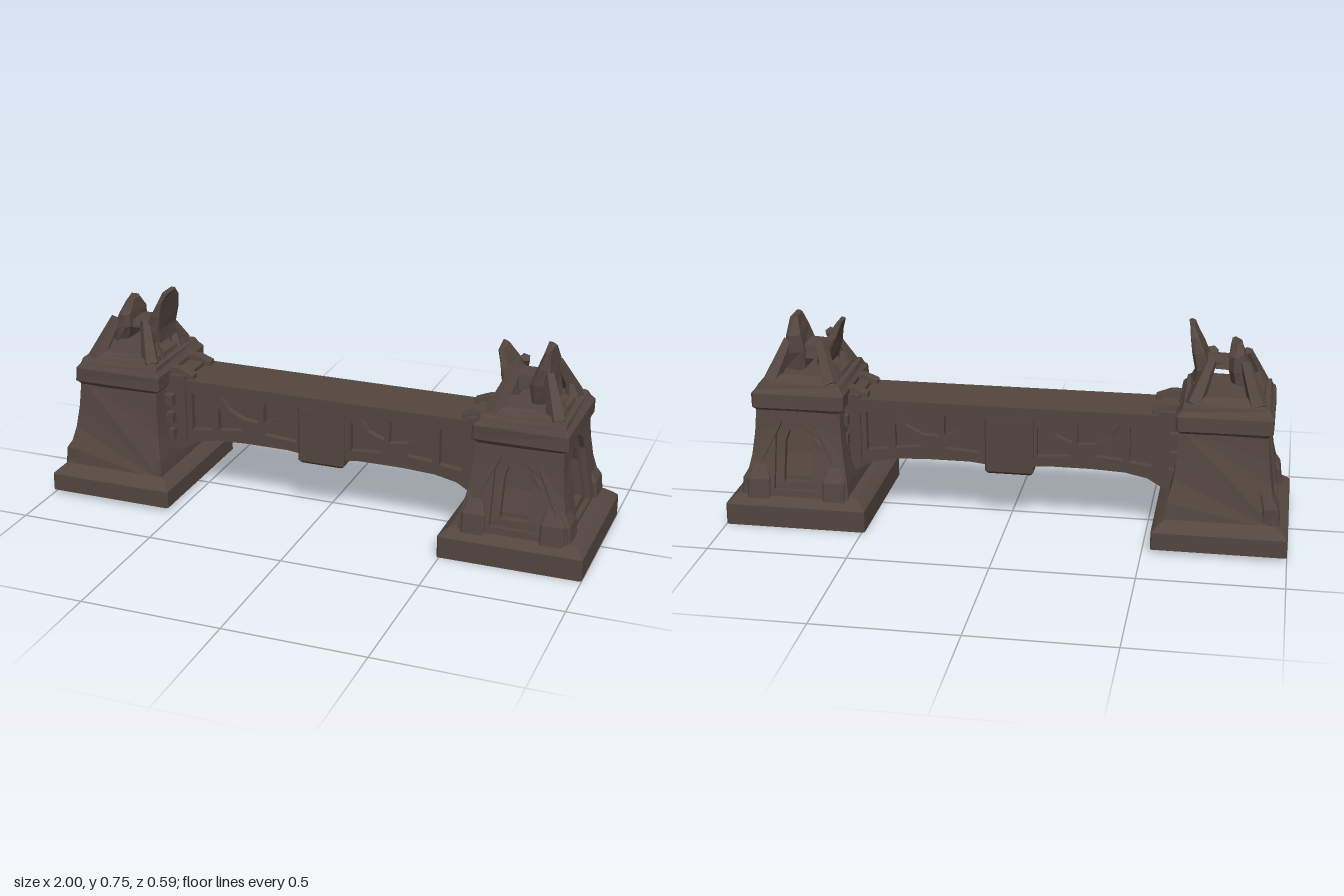
import * as THREE from 'three';

const stone = new THREE.MeshStandardMaterial({ color: 0x54463f, flatShading: true });
stone.name = 'dark stone';

function add(parent, name, geo) {
  const m = new THREE.Mesh(geo, stone);
  m.name = name;
  parent.add(m);
  return m;
}

function box(parent, name, x0, x1, y0, y1, z0, z1) {
  const g = new THREE.BoxGeometry(x1 - x0, y1 - y0, z1 - z0);
  g.translate((x0 + x1) / 2, (y0 + y1) / 2, (z0 + z1) / 2);
  return add(parent, name, g);
}

// Stacked chamfered rectangles [y, x0, x1, z0, z1]; rough moves corners for a weathered look
function loft(sections, chamfer = 0.006, rough = 0) {
  const pos = [], idx = [], n = 8;
  let seed = 7;
  const jit = () => {
    seed = (seed * 16807) % 2147483647;
    return (seed / 2147483647 - 0.5) * 2 * rough;
  };
  for (const [y, x0, x1, z0, z1] of sections) {
    const c = chamfer;
    const ring = [[x1 - c, z1], [x1, z1 - c], [x1, z0 + c], [x1 - c, z0],
      [x0 + c, z0], [x0, z0 + c], [x0, z1 - c], [x0 + c, z1]];
    for (const [x, z] of ring) pos.push(x + jit(), y + jit(), z + jit());
  }
  for (let s = 0; s < sections.length - 1; s++) {
    for (let i = 0; i < n; i++) {
      const a = s * n + i, b = s * n + (i + 1) % n;
      idx.push(a, b, b + n, a, b + n, a + n);
    }
  }
  const t = (sections.length - 1) * n;
  for (let i = 1; i < n - 1; i++) idx.push(0, i + 1, i, t, t + i, t + i + 1);
  const g = new THREE.BufferGeometry();
  g.setAttribute('position', new THREE.Float32BufferAttribute(pos, 3));
  g.setIndex(idx);
  g.computeVertexNormals();
  return g;
}

const centred = (y, hx, hz) => [y, -hx, hx, -hz, hz];

// Tapered strut between two points
function strut(parent, name, a, b, ra, rb) {
  const A = new THREE.Vector3(...a), B = new THREE.Vector3(...b), d = B.clone().sub(A);
  const m = add(parent, name, new THREE.CylinderGeometry(rb, ra, d.length(), 5));
  m.position.copy(A).add(B).multiplyScalar(0.5);
  m.quaternion.setFromUnitVectors(new THREE.Vector3(0, 1, 0), d.normalize());
}

// Flared half widths of a tower body at each height
const levels = [0.1, 0.17, 0.25, 0.33, 0.43];
const halfX = [0.193, 0.185, 0.168, 0.158, 0.152];
const halfZ = [0.25, 0.24, 0.212, 0.198, 0.186];
function at(table, y) {
  let i = 0;
  while (i < 3 && y > levels[i + 1]) i++;
  return THREE.MathUtils.lerp(table[i], table[i + 1], (y - levels[i]) / (levels[i + 1] - levels[i]));
}

const poly = (P, pts) => new P(pts.map(p => new THREE.Vector2(...p)));
const arch = (w, y0, ys, yt) => poly(THREE.Path, [[-w, y0], [w, y0], [w, ys],
  [w * 0.75, ys + (yt - ys) * 0.55], [0, yt], [-w * 0.75, ys + (yt - ys) * 0.55], [-w, ys]]);

// Wall layer following the flare, with an optional pointed opening
function wallLayer(width, out, inset, depth, hole) {
  const side = levels.map((y, i) => [width[i] - inset, y]);
  const shape = poly(THREE.Shape, [...side, ...side.map(([u, y]) => [-u, y]).reverse()]);
  if (hole) shape.holes.push(hole);
  const g = new THREE.ExtrudeGeometry(shape, { depth, bevelEnabled: false });
  const p = g.attributes.position;
  for (let i = 0; i < p.count; i++) p.setZ(i, at(out, p.getY(i)) - inset - depth + p.getZ(i));
  g.computeVertexNormals();
  return g;
}

function tower(name, cx, bottom, hx, hz, niches) {
  const t = new THREE.Group();
  t.name = name;
  t.position.x = cx;
  add(t, 'plinth', loft([centred(bottom, hx, hz), centred(0.078, hx, hz), centred(0.09, hx - 0.012, hz - 0.012),
    centred(0.108, hx - 0.035, hz - 0.035), centred(0.12, 0.18, 0.235)]));
  add(t, 'core', loft(levels.map((y, i) => centred(y, halfX[i] - 0.045, halfZ[i] - 0.045))));
  // Four walls: front, +x side, back, -x side
  for (let k = 0; k < 4; k++) {
    const onX = k % 2 === 1;
    const width = onX ? halfZ : halfX, out = onX ? halfX : halfZ, s = onX ? 1 : 0.82;
    const wall = new THREE.Group();
    wall.name = 'wall';
    wall.rotation.y = k * Math.PI / 2;
    t.add(wall);
    const niche = niches.includes(k);
    add(wall, 'outerWall', wallLayer(width, out, 0, 0.018, niche && arch(0.1 * s, 0.13, 0.32, 0.41)));
    if (!niche) continue;
    add(wall, 'nicheSurround', wallLayer(width, out, 0.018, 0.03, arch(0.062 * s, 0.155, 0.29, 0.365)));
    for (const d of [-1, 1]) {
      const u = d * (at(width, 0.1) - 0.055), w = 0.05 * s, o = at(out, 0.1);
      add(wall, 'buttressFoot', loft([[0.1, u - w, u + w, o - 0.05, o + 0.012],
        [0.17, u - w, u + w, o - 0.05, o + 0.004], [0.22, u - w * 0.7, u + w * 0.5, o - 0.06, o - 0.025]]));
    }
  }
  add(t, 'capital', loft([centred(0.405, 0.15, 0.183), centred(0.425, 0.168, 0.2), centred(0.475, 0.168, 0.198),
    centred(0.49, 0.155, 0.188), centred(0.505, 0.148, 0.18)], 0.008, 0.003));
  add(t, 'ruinFooting', loft([centred(0.5, 0.135, 0.165), centred(0.522, 0.125, 0.15), centred(0.53, 0.11, 0.13)], 0.02, 0.006));
  // Leaning corner legs and rubble under the ruined crown
  for (const sx of [-1, 1]) for (const sz of [-1, 1]) {
    strut(t, 'crownLeg', [sx * 0.11, 0.5, sz * 0.135], [sx * 0.058, 0.64, sz * 0.065], 0.034, 0.02);
    strut(t, 'crownRubble', [sx * 0.11, 0.5, sz * 0.07], [sx * 0.1, 0.56, sz * 0.08], 0.03, 0.014);
  }
  return t;
}

// Bridge side outline, with arched underside
function bridgeShape() {
  const half = [[0.085, 0.222], [0.14, 0.228], [0.3, 0.228], [0.42, 0.222], [0.5, 0.205], [0.55, 0.175], [0.62, 0.15], [0.62, 0.42]];
  return poly(THREE.Shape, [...half, ...half.map(([x, y]) => [-x, y]).reverse()]);
}

function slab(shape, z0, z1) {
  const g = new THREE.ExtrudeGeometry(shape, { depth: z1 - z0, bevelEnabled: false });
  return g.translate(0, 0, z0);
}

export function createModel() {
  const model = new THREE.Group();
  model.name = 'ruinedBridge';

  // Towers
  const left = tower('leftTower', 0.745, 0, 0.255, 0.282, [0, 1, 2]);
  const right = tower('rightTower', -0.765, 0.015, 0.235, 0.293, [3]);
  model.add(left, right);

  // Broken crown with an open gap
  add(right, 'outerCrown', loft([[0.56, -0.075, -0.01, -0.08, 0.08], [0.61, -0.065, 0.0, -0.085, 0.085],
    [0.66, -0.05, 0.0, -0.08, 0.08], [0.7, -0.04, -0.005, -0.05, 0.04]], 0.018, 0.006));
  add(right, 'innerCrown', loft([[0.56, 0.075, 0.12, -0.075, 0.075], [0.61, 0.065, 0.115, -0.085, 0.08],
    [0.67, 0.085, 0.125, -0.085, 0.082], [0.72, 0.11, 0.135, -0.07, 0.075], [0.748, 0.125, 0.142, -0.035, 0.06]], 0.008, 0.005));
  add(right, 'crownLintel', loft([[0.61, -0.03, 0.1, -0.06, 0.06], [0.635, -0.03, 0.1, -0.055, 0.05]], 0.01, 0.005));

  // Broken crown with a filled middle
  add(left, 'outerCrown', loft([[0.53, 0.0, 0.085, -0.07, 0.07], [0.6, 0.0, 0.07, -0.085, 0.085],
    [0.66, 0.015, 0.065, -0.085, 0.08], [0.715, 0.035, 0.062, -0.045, 0.065]], 0.012, 0.006));
  add(left, 'innerCrown', loft([[0.55, -0.09, -0.04, -0.075, 0.075], [0.61, -0.1, -0.05, -0.08, 0.08],
    [0.65, -0.115, -0.08, -0.075, 0.07], [0.7, -0.128, -0.108, -0.05, 0.05]], 0.008, 0.005));
  add(left, 'crownLintel', loft([[0.57, -0.07, 0.03, -0.06, 0.06], [0.62, -0.07, 0.03, -0.05, 0.05]], 0.01, 0.006));

  // Span: recessed core inside a pierced frame
  const span = new THREE.Group();
  span.name = 'span';
  model.add(span);
  add(span, 'spanCore', slab(bridgeShape(), -0.083, 0.07));
  const frame = bridgeShape();
  const holes = [
    [[0.435, 0.26], [0.515, 0.25], [0.515, 0.395], [0.435, 0.395]],
    [[0.25, 0.315], [0.31, 0.32], [0.37, 0.35], [0.4, 0.395], [0.25, 0.395]],
    [[0.23, 0.32], [0.23, 0.395], [0.14, 0.395], [0.17, 0.345]],
    [[0.41, 0.265], [0.41, 0.355], [0.37, 0.315], [0.31, 0.275]],
    [[0.105, 0.262], [0.23, 0.272], [0.16, 0.315], [0.105, 0.375]],
  ];
  for (const h of holes) for (const s of [-1, 1]) frame.holes.push(poly(THREE.Path, h.map(([x, y]) => [s * x, y])));
  add(span, 'spanFrame', slab(frame, -0.108, 0.096));
  box(span, 'deck', -0.6, 0.6, 0.4, 0.446, -0.117, 0.104);
  add(span, 'keystone', loft([[0.19, -0.085, 0.075, -0.11, 0.098], [0.2, -0.092, 0.082, -0.12, 0.108],
    [0.405, -0.092, 0.082, -0.12, 0.108]]));

  // Abutments with quoin stones, and kerbs where the deck meets each tower
  for (const s of [-1, 1]) {
    const span2 = (a, b) => [Math.min(s * a, s * b), Math.max(s * a, s * b)];
    box(span, 'abutment', ...span2(0.535, 0.66), 0.2, 0.46, -0.118, 0.106);
    for (const y of [0.235, 0.3, 0.37]) for (const z of [-0.125, 0.113]) {
      box(span, 'quoin', ...span2(0.575, 0.625), y - 0.02, y + 0.02, z - 0.02, z + 0.02);
    }
    const [k0, k1] = span2(0.51, 0.62);
    for (const z of [-0.08, 0.07]) {
      add(span, 'kerb', loft([[0.44, k0, k1, z - 0.022, z + 0.022],
        [0.462, k0, k1, z - 0.02, z + 0.02],
        [0.482, ...span2(0.56, 0.62), z - 0.018, z + 0.018]], 0.004));
    }
  }
  return model;
}
